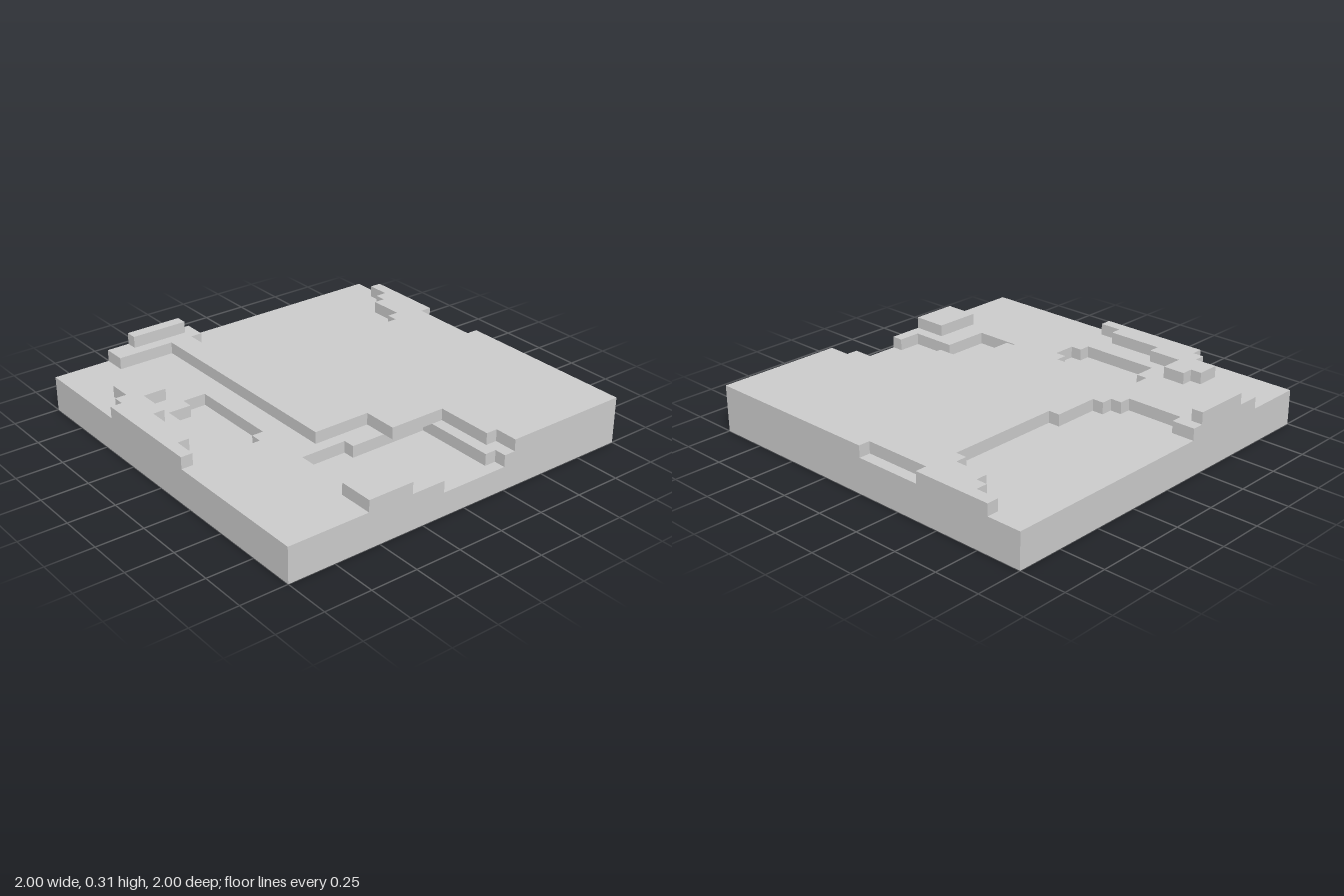
import * as THREE from 'three';

// One terrain step; all outlines are [x, z] corners in these grid units.
const U = 1 / 16;

const material = new THREE.MeshStandardMaterial({ color: 0xcccccc, flatShading: true });

const points = (outline) => outline.map(([x, z]) => new THREE.Vector2(x * U, z * U));

const rect = (x0, z0, x1, z1) => [[x0, z0], [x1, z0], [x1, z1], [x0, z1]];

// A flat layer of terrain between two step heights, with optional holes.
function layer(name, bottom, top, outline, holes = []) {
  const shape = new THREE.Shape(points(outline));
  for (const hole of holes) shape.holes.push(new THREE.Path(points(hole)));
  const geometry = new THREE.ExtrudeGeometry(shape, { depth: (top - bottom) * U, bevelEnabled: false });
  geometry.rotateX(Math.PI / 2); // shape y becomes z, depth runs downward
  geometry.translate(0, top * U, 0);
  const mesh = new THREE.Mesh(geometry, material);
  mesh.name = name;
  return mesh;
}

export function createModel() {
  const model = new THREE.Group();
  model.name = 'steppedTerrain';

  // Solid base, its top being the bed of the river and the pond
  model.add(layer('base', 0, 2, rect(-16, -16, 16, 16)));

  // Low ground, cut by the river inlet on the left edge and a pond at the front
  const pond = [
    [-6, 8], [2, 8], [2, 9], [3, 9], [3, 11], [2, 11], [2, 12], [-5, 12], [-5, 10], [-6, 10],
  ];
  model.add(layer('lowGround', 2, 3, [
    [-16, -16], [16, -16], [16, -4], [15, -4], [15, -3], [8, -3], [8, 4], [7, 4],
    [7, 8], [11, 8], [11, 4], [15, 4], [15, 2], [16, 2], [16, 16], [-16, 16],
  ], [pond]));

  // Main plateau, around the hollow on the right edge and the notch at the back
  model.add(layer('plateau', 3, 4, [
    [-13, -16], [-13, -15], [-11, -15], [-11, -14], [-10, -14], [-10, -13], [-7, -13],
    [-7, -12], [-6, -12], [-6, -2], [-7, -2], [-7, 2], [-8, 2], [-8, 3], [-9, 3], [-9, 4],
    [-14, 4], [-14, 3], [-16, 3], [-16, 11], [-14, 11], [-14, 6], [6, 6], [6, 1], [9, 1],
    [9, -4], [14, -4], [14, -5], [16, -5], [16, -16], [0, -16], [0, -15], [-6, -15], [-6, -16],
  ]));

  // Raised bank along the front edge
  model.add(layer('frontBank', 3, 4, [
    [-7, 16], [-7, 15], [-8, 15], [-8, 14], [-10, 14], [-10, 12], [-9, 12], [-9, 11],
    [-7, 11], [-7, 13], [-4, 13], [-4, 14], [1, 14], [1, 15], [3, 15], [3, 16],
  ]));

  // Small mounds on the left and right edges
  model.add(layer('leftMound', 3, 4, rect(13, 5, 16, 9)));
  model.add(layer('rightRidge', 4, 5, rect(-16, 4, -15, 9)));

  return model;
}
